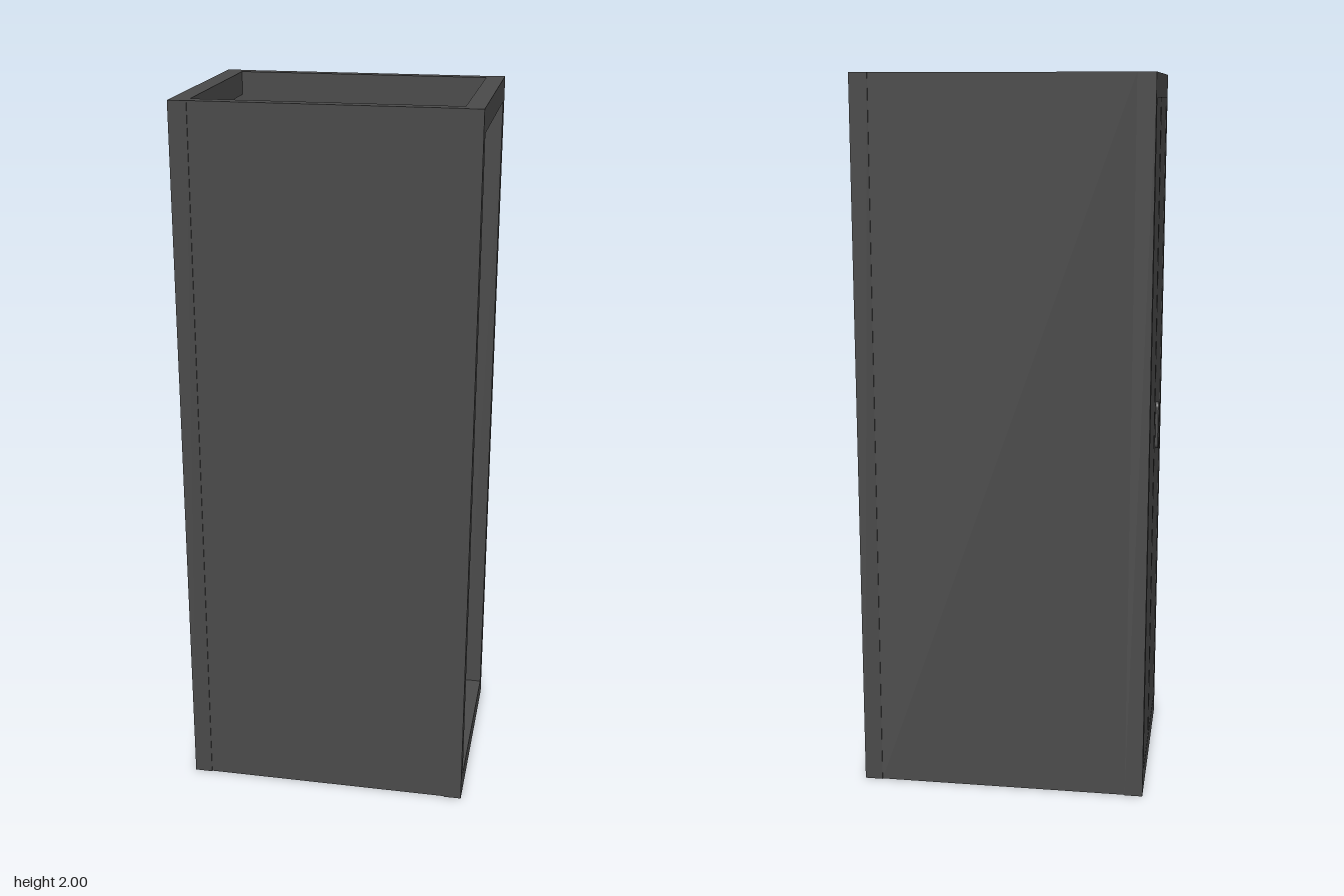
import * as THREE from 'three';

const darkGrey = new THREE.MeshStandardMaterial({ color: 0x4a4a4a });
darkGrey.name = 'dark grey';

// Box given by its limits on each axis
function slab(name, x0, x1, y0, y1, z0, z1) {
  const mesh = new THREE.Mesh(new THREE.BoxGeometry(x1 - x0, y1 - y0, z1 - z0), darkGrey);
  mesh.position.set((x0 + x1) / 2, (y0 + y1) / 2, (z0 + z1) / 2);
  mesh.name = name;
  return mesh;
}

// Rectangular end frame with a tall opening, thickness along x
function endFrame(name, x0, x1) {
  const outline = new THREE.Shape();
  outline.moveTo(-0.305, 0).lineTo(0.305, 0).lineTo(0.305, 2).lineTo(-0.305, 2).closePath();
  const opening = new THREE.Path();
  opening.moveTo(-0.265, 0.06).lineTo(-0.265, 1.935).lineTo(0.265, 1.935).lineTo(0.265, 0.06).closePath();
  outline.holes.push(opening);
  const geometry = new THREE.ExtrudeGeometry(outline, { depth: x1 - x0, bevelEnabled: false });
  geometry.rotateY(Math.PI / 2);
  const mesh = new THREE.Mesh(geometry, darkGrey);
  mesh.position.x = x0;
  mesh.name = name;
  return mesh;
}

// Slim upright grip with rounded ends and a bevelled face
function doorHandle() {
  const r = 0.012, half = 0.054;
  const outline = new THREE.Shape();
  outline.absarc(0, half, r, 0, Math.PI, false);
  outline.absarc(0, -half, r, Math.PI, Math.PI * 2, false);
  outline.closePath();
  const geometry = new THREE.ExtrudeGeometry(outline, {
    depth: 0.008, bevelEnabled: true, bevelThickness: 0.003, bevelSize: 0.004, bevelSegments: 1, curveSegments: 8,
  });
  geometry.rotateY(-Math.PI / 2);
  const mesh = new THREE.Mesh(geometry, darkGrey);
  mesh.position.set(-0.397, 1.0, 0.061);
  mesh.name = 'doorHandle';
  return mesh;
}

export function createModel() {
  const cabinet = new THREE.Group();
  cabinet.name = 'cabinet';

  // End frames: the left one stays open, the right one holds the doors
  cabinet.add(endFrame('openFrame', 0.355, 0.405), endFrame('doorFrame', -0.4, -0.35));

  // Long side walls between the frames
  cabinet.add(slab('frontWall', -0.35, 0.355, 0, 2, 0.267, 0.302));
  cabinet.add(slab('backWall', -0.35, 0.355, 0, 2, -0.302, -0.267));

  // Two thin door leaves with a narrow seam and an upright bar behind it
  const doors = new THREE.Group();
  doors.name = 'doors';
  doors.add(slab('frontLeaf', -0.398, -0.388, 0.06, 1.935, 0.005, 0.265));
  doors.add(slab('backLeaf', -0.398, -0.388, 0.06, 1.935, -0.265, -0.016));
  doors.add(slab('seamBar', -0.388, -0.352, 0.06, 1.935, -0.016, 0.021));
  doors.add(doorHandle());
  cabinet.add(doors);

  return cabinet;
}
